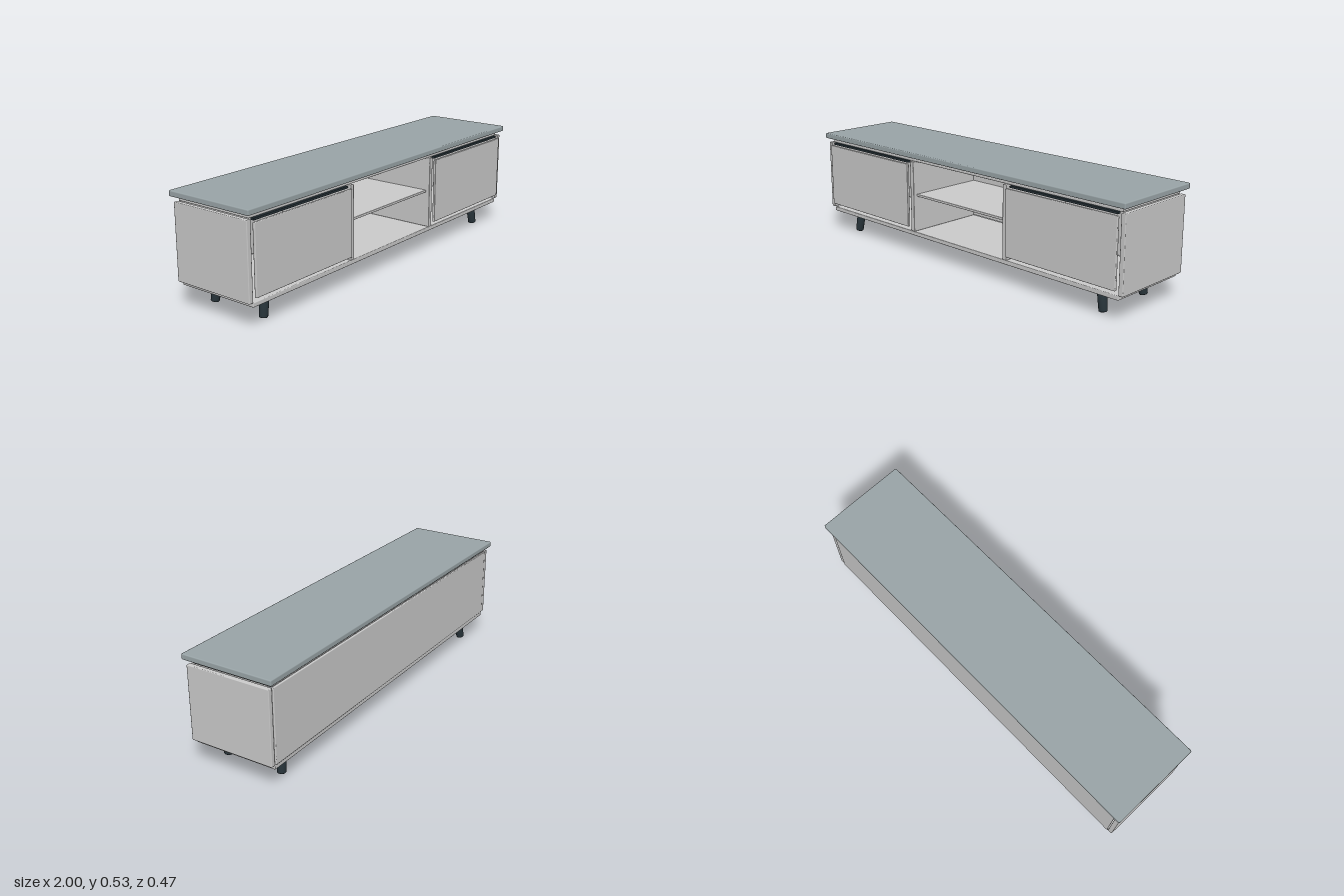
import * as THREE from 'three';
import { RoundedBoxGeometry } from 'three/addons/geometries/RoundedBoxGeometry.js';

const grey = new THREE.MeshStandardMaterial({ color: 0xcccccc });
const slate = new THREE.MeshStandardMaterial({ color: 0x9aa5a8 });
const dark = new THREE.MeshStandardMaterial({ color: 0x263238 });

// Bevelled board given by its extents on each axis
function board(name, [x0, x1], [y0, y1], [z0, z1], material = grey, bevel = 0.004) {
  const geometry = new RoundedBoxGeometry(x1 - x0, y1 - y0, z1 - z0, 1, bevel);
  const mesh = new THREE.Mesh(geometry, material);
  mesh.name = name;
  mesh.position.set((x0 + x1) / 2, (y0 + y1) / 2, (z0 + z1) / 2);
  return mesh;
}

// Tapered round leg between two points, narrower at the foot
function leg(name, foot, top) {
  const axis = top.clone().sub(foot);
  const profile = [[0, 0], [0.017, 0], [0.02, 0.003], [0.0225, axis.length()], [0, axis.length()]];
  const geometry = new THREE.LatheGeometry(profile.map(([r, y]) => new THREE.Vector2(r, y)), 24);
  const mesh = new THREE.Mesh(geometry, dark);
  mesh.name = name;
  mesh.position.copy(foot);
  mesh.quaternion.setFromUnitVectors(new THREE.Vector3(0, 1, 0), axis.normalize());
  return mesh;
}

export function createModel() {
  const model = new THREE.Group();
  model.name = 'mediaCabinet';

  // Horizontal boards and back
  model.add(
    board('worktop', [-1, 1], [0.507, 0.535], [-0.233, 0.233], slate, 0.006),
    board('upperPanel', [-0.967, 0.967], [0.484, 0.5], [-0.209, 0.201]),
    board('basePanel', [-0.967, 0.967], [0.103, 0.125], [-0.211, 0.212]),
    board('backPanel', [-0.964, 0.964], [0.126, 0.483], [-0.216, -0.204]),
    board('shelf', [-0.305, 0.305], [0.305, 0.318], [-0.204, 0.195], grey, 0.003),
  );

  // Mirrored left and right parts
  for (const [side, s] of [['left', 1], ['right', -1]]) {
    const span = (a, b) => (s > 0 ? [a, b] : [-b, -a]);
    model.add(
      board(side + 'SidePanel', span(0.968, 0.992), [0.125, 0.485], [-0.213, 0.215]),
      board(side + 'Divider', span(0.305, 0.33), [0.125, 0.485], [-0.204, 0.215]),
      board(side + 'DrawerFront', span(0.336, 0.961), [0.147, 0.472], [0.215, 0.229]),
      board(side + 'GripStrip', span(0.347, 0.95), [0.474, 0.485], [0.195, 0.213], dark, 0.002),
    );

    // Splayed legs
    for (const [end, e] of [['Front', 1], ['Back', -1]]) {
      model.add(leg(side + end + 'Leg',
        new THREE.Vector3(s * 0.843, 0.003, e * 0.147),
        new THREE.Vector3(s * 0.827, 0.105, e * 0.141)));
    }
  }
  return model;
}
